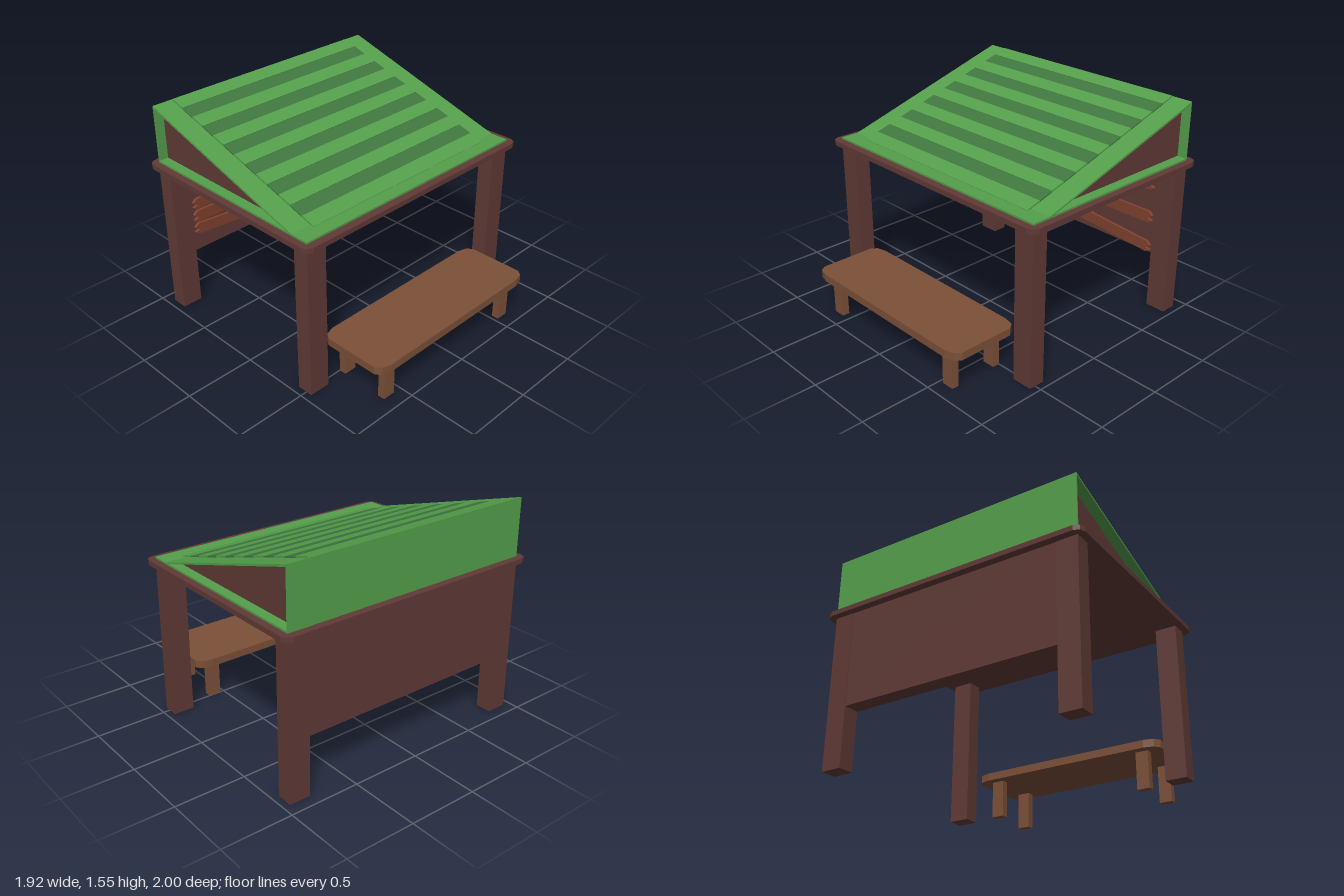
import * as THREE from 'three';

const paint = (color) => new THREE.MeshStandardMaterial({ color, flatShading: true });

export function createModel() {
  const model = new THREE.Group();
  const brown = paint(0x603a36), green = paint(0x55a04c), darkGreen = paint(0x407840);
  const plankWood = paint(0x80422f), benchWood = paint(0x7c5038);

  const add = (name, geometry, material) => {
    const mesh = new THREE.Mesh(geometry, material);
    mesh.name = name;
    model.add(mesh);
    return mesh;
  };
  // Box given by its limits on each axis
  const box = (name, material, x0, x1, y0, y1, z0, z1) =>
    add(name, new THREE.BoxGeometry(x1 - x0, y1 - y0, z1 - z0), material)
      .position.set((x0 + x1) / 2, (y0 + y1) / 2, (z0 + z1) / 2);
  const outline = (points) => new THREE.Shape(points.map(([x, y]) => new THREE.Vector2(x, y)));
  // Side profile in x and y, swept between z = -half and z = half
  const sweep = (name, material, points, half) =>
    add(name, new THREE.ExtrudeGeometry(outline(points), { depth: 2 * half, bevelEnabled: false })
      .translate(0, 0, -half), material);
  // Flat board with two-step clipped corners
  const board = (name, material, x0, x1, y0, y1, z0, z1, cx, cz) => {
    const mx = (x0 + x1) / 2, mz = (z0 + z1) / 2, hx = (x1 - x0) / 2, hz = (z1 - z0) / 2;
    const points = [];
    for (const [sx, sz] of [[1, 1], [-1, 1], [-1, -1], [1, -1]]) {
      const corner = [[hx, hz - cz], [hx - cx * 0.3, hz - cz * 0.3], [hx - cx, hz]];
      if (sx * sz < 0) corner.reverse();
      for (const [x, z] of corner) points.push([mx + sx * x, -mz + sz * z]);
    }
    add(name, new THREE.ExtrudeGeometry(outline(points), { depth: y1 - y0, bevelEnabled: false })
      .rotateX(-Math.PI / 2).translate(0, y0, 0), material);
  };

  // Corner posts
  for (const x of [-0.915, 0.43])
    for (const z of [-0.95, 0.8]) box('post', brown, x, x + 0.115, 0, 1.1, z, z + 0.15);

  // Side wall and the top slab
  box('sideWall', brown, -0.912, -0.8, 0.42, 1.1, -0.8, 0.8);
  board('roofSlab', brown, -0.965, 0.6, 1.1, 1.135, -1, 1, 0.055, 0.055);

  // Crooked planks with notched ends: [bottom, top] at z = 0.8, then at z = -0.8
  const planks = [
    [0.97, 1.055, 0.99, 1.08], [0.75, 0.83, 0.9, 0.98],
    [0.65, 0.735, 0.65, 0.735], [0.555, 0.635, 0.425, 0.505],
  ];
  for (const [b0, t0, b1, t1] of planks) {
    const end = (s, b, t) => [[0.77, b], [0.8, b + 0.02], [0.765, (b + t) / 2 - 0.01],
      [0.8, t - 0.025], [0.77, t]].map(([z, y]) => [s * z, y]);
    const points = [...end(1, b0, t0), ...end(-1, b1, t1).reverse()];
    add('wallPlank', new THREE.ExtrudeGeometry(outline(points), { depth: 0.022, bevelEnabled: false })
      .rotateY(-Math.PI / 2).translate(-0.779, 0, 0), plankWood);
  }

  // Lean-to roof: base sheet, back panel, brown core and sloping sheet
  box('roofBase', green, -0.91, 0.545, 1.135, 1.148, -0.95, 0.95);
  box('roofBack', green, -0.912, -0.904, 1.135, 1.54, -0.95, 0.95);
  sweep('roofCore', brown, [[-0.904, 1.146], [0.41, 1.146], [-0.904, 1.534]], 0.88);
  sweep('roofSheet', green, [[-0.912, 1.53], [0.4, 1.14], [0.44, 1.14], [-0.912, 1.545]], 0.95);

  // Slats across the slope, alternately light and raised, dark and lower
  const slope = (1.545 - 1.14) / 1.352, angle = Math.atan(slope), pitch = 1.345 / 13;
  for (let i = 0; i < 13; i++) {
    const dark = i % 2, lift = dark ? 0.003 : 0.006;
    const x = -0.9 + (i + 0.5) * pitch;
    const slat = add('roofSlat', new THREE.BoxGeometry(pitch / Math.cos(angle), 0.012, 1.6),
      dark ? darkGreen : green);
    slat.position.set(x, 1.545 - (x + 0.912) * slope + lift, 0);
    slat.rotation.z = -angle;
  }

  // Bench
  board('benchTop', benchWood, 0.44, 0.96, 0.265, 0.32, -0.72, 0.75, 0.06, 0.1);
  for (const x of [0.5, 0.847])
    for (const z of [-0.62, 0.56]) box('benchLeg', benchWood, x, x + 0.052, 0, 0.265, z, z + 0.092);

  return model;
}
